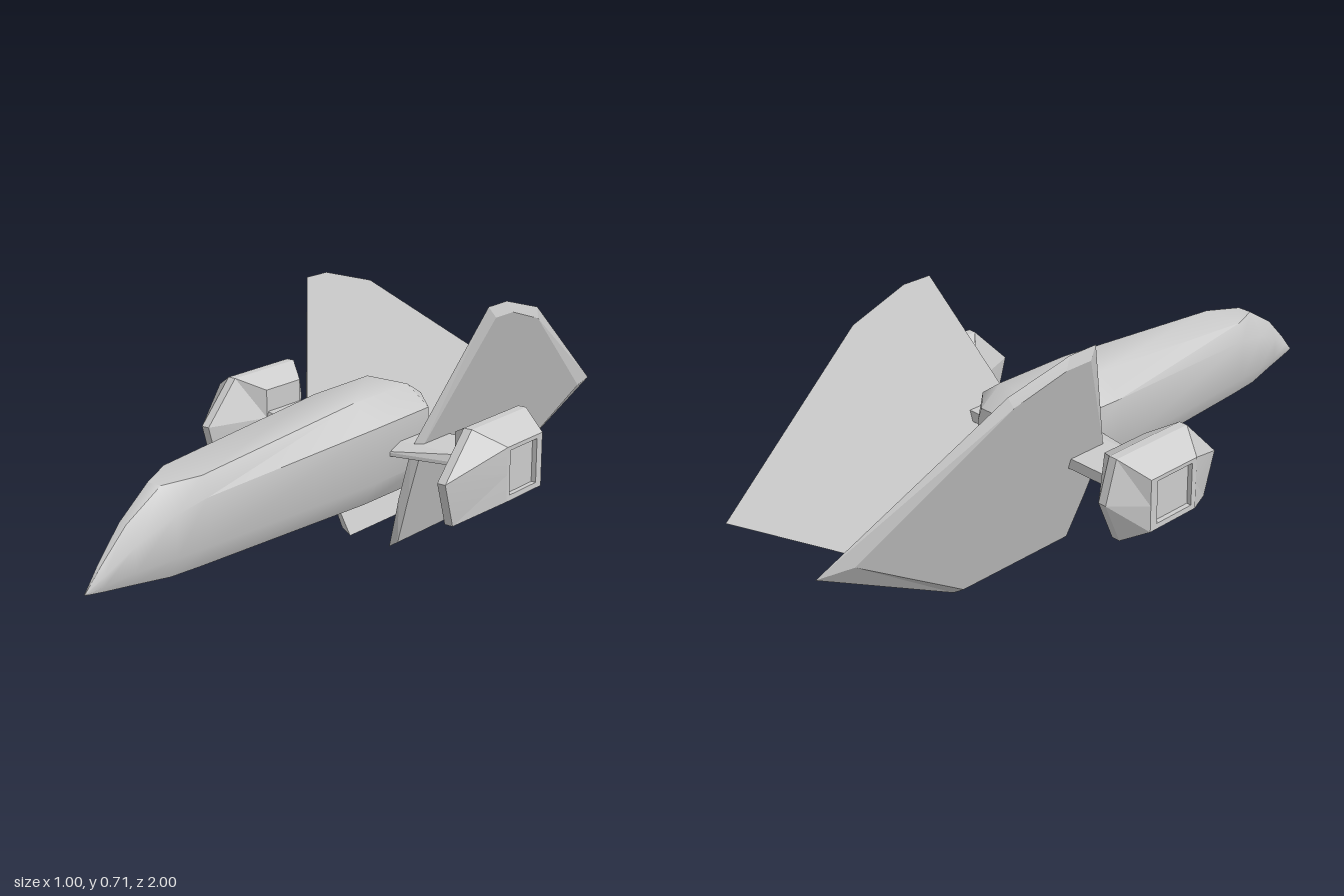
import * as THREE from 'three';
import { toCreasedNormals } from 'three/addons/utils/BufferGeometryUtils.js';

// Skin a list of equal-length rings, close both ends, and orient faces outward.
function loft(rings, crease) {
  const n = rings[0].length;
  const pos = rings.flat(2);
  const centre = (r) => [0, 1, 2].map((k) => r.reduce((s, p) => s + p[k], 0) / n);
  const last = rings.length - 1;
  pos.push(...centre(rings[0]), ...centre(rings[last]));
  const first = rings.length * n;
  const tris = [];
  for (let j = 0; j < n; j++) {
    const k = (j + 1) % n;
    for (let i = 0; i < last; i++) {
      const a = i * n + j, b = i * n + k, c = a + n, d = b + n;
      tris.push([a, b, d], [a, d, c]);
    }
    tris.push([first, k, j], [first + 1, last * n + j, last * n + k]);
  }
  // A negative enclosed volume means the surface is inside out
  const v = (i) => new THREE.Vector3().fromArray(pos, i * 3);
  const volume = tris.reduce((s, [a, b, c]) => s + v(a).dot(v(b).cross(v(c))), 0);
  const g = new THREE.BufferGeometry();
  g.setAttribute('position', new THREE.Float32BufferAttribute(pos, 3));
  g.setIndex(tris.flatMap(([a, b, c]) => (volume < 0 ? [a, c, b] : [a, b, c])));
  return toCreasedNormals(g, crease);
}

export function createModel() {
  const model = new THREE.Group();
  const material = new THREE.MeshStandardMaterial({ color: 0xcccccc });
  const add = (name, rings, crease = 0.15) => {
    const mesh = new THREE.Mesh(loft(rings, crease), material);
    mesh.name = name;
    model.add(mesh);
  };

  // Fuselage stations: z, top half width, top y, side half width,
  // upper side y, lower side y, bottom half width, bottom y
  const stations = [
    [1.0, 0.001, 0.203, 0.002, 0.202, 0.201, 0.001, 0.2],
    [0.95, 0.006, 0.26, 0.016, 0.235, 0.21, 0.01, 0.195],
    [0.87, 0.012, 0.34, 0.04, 0.29, 0.225, 0.024, 0.189],
    [0.76, 0.022, 0.41, 0.071, 0.345, 0.235, 0.046, 0.181],
    [0.66, 0.064, 0.418, 0.082, 0.365, 0.237, 0.055, 0.18],
    [0.06, 0.07, 0.464, 0.143, 0.405, 0.25, 0.1, 0.18],
    [-0.18, 0.07, 0.465, 0.143, 0.41, 0.25, 0.1, 0.18],
    [-0.26, 0.06, 0.42, 0.075, 0.38, 0.28, 0.06, 0.23],
  ];
  add('fuselage', stations.map(([z, tx, ty, sx, su, sl, bx, by]) => [
    [tx, ty, z], [-tx, ty, z], [-sx, su, z], [-sx, sl, z],
    [-bx, by, z], [bx, by, z], [sx, sl, z], [sx, su, z],
  ]), 0.85);

  // Fin outlines as [z, y]; the outer face is smaller, giving bevelled edges
  const finInner = [[-0.1, 0.003], [-0.49, 0.003], [-1, 0.325], [-0.49, 0.66],
    [-0.3, 0.713], [-0.21, 0.713], [-0.045, 0.33], [-0.065, 0.17]];
  const finOuter = [[-0.1, 0.022], [-0.48, 0.022], [-0.9, 0.325], [-0.48, 0.63],
    [-0.32, 0.68], [-0.235, 0.68], [-0.065, 0.33], [-0.08, 0.17]];

  // Engine pod outlines as [z, y]
  const podHex = [[0.137, 0.325], [0.02, 0.445], [-0.243, 0.445],
    [-0.28, 0.325], [-0.228, 0.202], [0.1, 0.202]];
  const rect = (z0, z1, y0, y1) => [[z0, 0.325], [z0, y1], [z1, y1], [z1, 0.325], [z1, y0], [z0, y0]];
  const podEnd = rect(-0.03, -0.2, 0.25, 0.4);
  const recess = rect(-0.045, -0.175, 0.265, 0.388);

  for (const [side, s] of [['left', 1], ['right', -1]]) {
    const at = (x, outline) => outline.map(([z, y]) => [s * x, y, z]);

    // Canted tail fin
    add(side + 'Fin', [
      finInner.map(([z, y]) => [s * (0.069 + y * 0.343), y, z]),
      finOuter.map(([z, y]) => [s * (0.092 + y * 0.338), y, z]),
    ]);

    // Pod with a recessed outer face
    add(side + 'Pod', [
      at(0.328, rect(-0.04, -0.19, 0.255, 0.408)),
      at(0.395, podHex), at(0.42, podHex),
      at(0.5, podEnd), at(0.499, recess), at(0.485, recess),
    ]);

    // Tapered strut from fuselage to pod
    const strut = (front) => [[front, 0.312], [front, 0.322], [-0.05, 0.343], [-0.19, 0.343], [-0.19, 0.312]];
    add(side + 'Strut', [at(0.11, strut(0.005)), at(0.34, strut(-0.04))]);

    // Small belly blocks: an upper mount and a tapered lower part
    const block = (half, lower, y0, y1) => [-0.12, -0.24].map((z) => [
      [s * (0.036 - half), y1, z], [s * (0.036 + half), y1, z],
      [s * (0.036 + lower), y0, z], [s * (0.036 - lower), y0, z],
    ]);
    add(side + 'BellyMount', block(0.016, 0.016, 0.174, 0.2));
    add(side + 'BellyBlock', block(0.02, 0.013, 0.153, 0.175));
  }
  return model;
}
